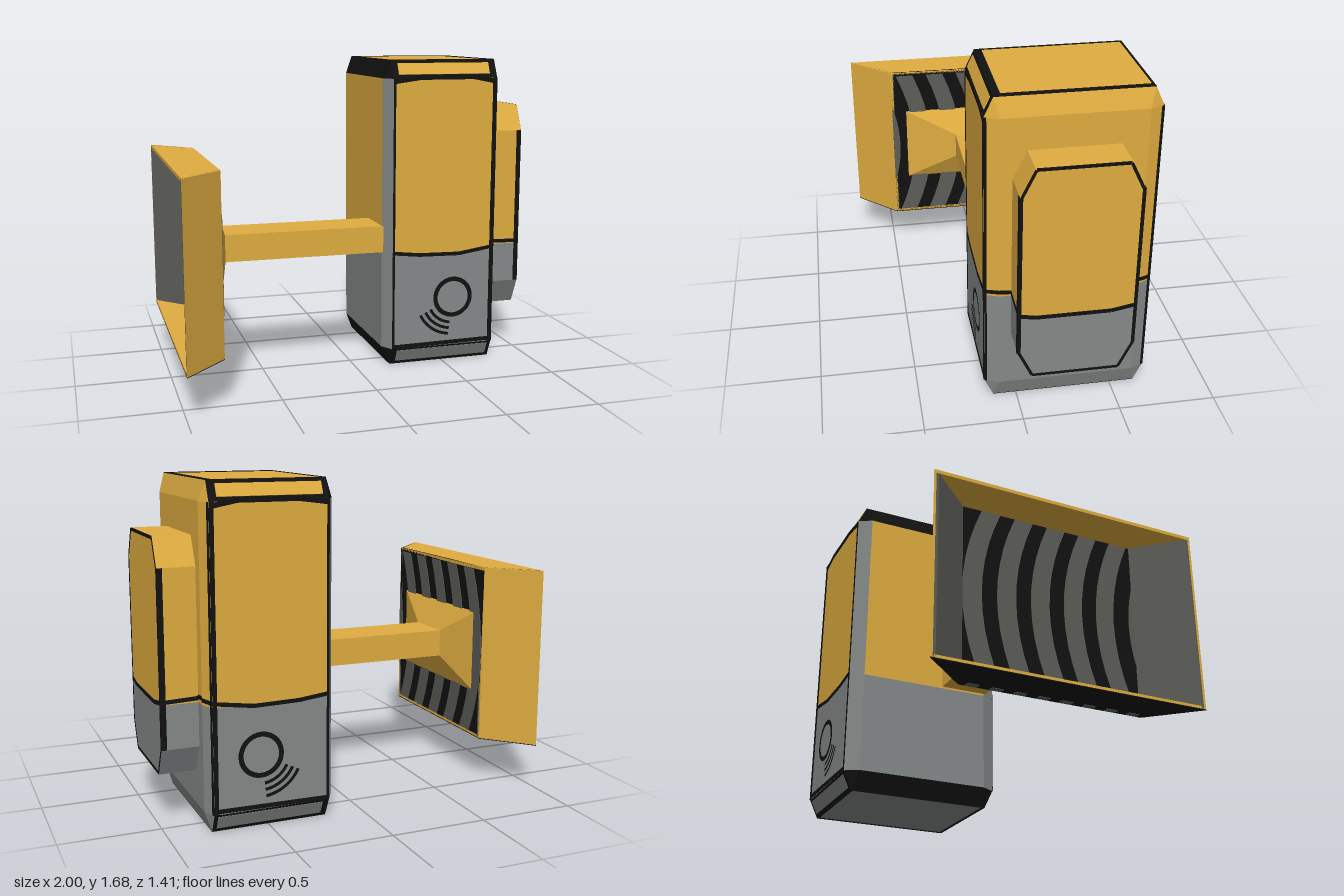
import * as THREE from 'three';
import { ConvexGeometry } from 'three/addons/geometries/ConvexGeometry.js';

const V = (x, y, z) => new THREE.Vector3(x, y, z);

export function createModel() {
  const model = new THREE.Group();
  model.name = 'hammer';
  const paint = (name, color) => Object.assign(new THREE.MeshStandardMaterial({ color }), { name });
  const yellow = paint('yellow', 0xdfac40);
  const grey = paint('grey', 0x848988);
  const dark = paint('darkGrey', 0x5c5c58);
  const black = paint('black', 0x111111);

  function add(name, geometry, material) {
    const mesh = new THREE.Mesh(geometry, material);
    mesh.name = name;
    model.add(mesh);
    return mesh;
  }
  const hull = (name, points, material) => add(name, new ConvexGeometry(points), material);

  // Thin painted strip from a to b, lying on a surface with normal n
  function strip(name, a, b, width, n, material = black) {
    const along = b.clone().sub(a);
    const length = along.length();
    along.normalize();
    const normal = n.clone().normalize();
    const side = normal.clone().cross(along);
    const mesh = add(name, new THREE.BoxGeometry(length, width, 0.006), material);
    mesh.quaternion.setFromRotationMatrix(new THREE.Matrix4().makeBasis(along, side, normal));
    mesh.position.copy(a).add(b).multiplyScalar(0.5);
  }
  function polyline(name, points, width, n) {
    for (let i = 1; i < points.length; i++) strip(name, points[i - 1], points[i], width, n);
  }

  // Head: bevelled block, yellow above and grey below
  const SPLIT = 0.625, TOP = 1.675, FRONT = 0.165, BACK = -0.675;
  const headHalf = (name, edgeY, bevelY, mainMat) => {
    const pts = [];
    for (const x of [0.195, 0.785]) {
      for (const z of [BACK, FRONT]) pts.push(V(x, SPLIT, z), V(x, bevelY, z));
      for (const z of [BACK + 0.045, FRONT - 0.045]) pts.push(V(x, edgeY, z));
    }
    for (const x of [0.155, 0.815])
      for (const z of [BACK + 0.07, FRONT - 0.07]) pts.push(V(x, SPLIT, z), V(x, bevelY, z));
    const g = new ConvexGeometry(pts);
    const n = g.attributes.normal;
    for (let i = 0; i < n.count; i += 3) {
      const [nx, ny, nz] = [n.getX(i), n.getY(i), n.getZ(i)];
      const on = v => Math.abs(v) > 0.02;
      let m = 0;
      if (on(ny) && on(nz) && !on(nx)) m = 2;        // long chamfers
      else if (nx < -0.02 && on(ny)) m = 2;          // bevels on the handle side
      else if (nx < -0.02 && on(nz)) m = 1;
      g.addGroup(i, 3, m);
    }
    add(name, g, [mainMat, grey, black]);
  };
  headHalf('headUpper', TOP, 1.58, yellow);
  headHalf('headLower', 0, 0.095, grey);

  // Painted lines on the front and back of the head
  for (const s of [1, -1]) {
    const z = s > 0 ? FRONT : BACK, n = V(0, 0, s);
    strip('headLine', V(0.201, 0.095, z), V(0.201, 1.58, z), 0.012, n);
    strip('headLine', V(0.774, 0.095, z), V(0.774, 1.58, z), 0.022, n);
    polyline('headLine', [V(0.2, 1.565, z), V(0.35, 1.585, z), V(0.65, 1.585, z), V(0.78, 1.56, z)], 0.025, n);
    strip('headLine', V(0.195, 0.106, z), V(0.785, 0.112, z), 0.022, n);
    polyline('splitLine', [V(0.195, 0.638, z), V(0.35, 0.62, z), V(0.58, 0.615, z), V(0.785, 0.645, z)], 0.02, n);

    // Coloured panels within the black chamfers
    const cz = z - s * 0.0225;
    strip('topChamferPanel', V(0.225, 1.63, cz), V(0.745, 1.63, cz), 0.065, V(0, 0.045, s * 0.095), yellow);
    strip('bottomChamferPanel', V(0.225, 0.05, cz), V(0.765, 0.05, cz), 0.075, V(0, -0.045, s * 0.095), grey);

    // Split line round the end bevel, and the end's outline
    const bn = V(0.07, 0, s * 0.03);
    strip('splitLine', V(0.785, 0.645, z), V(0.815, 0.65, z - s * 0.07), 0.02, bn);
    strip('headLine', V(0.788, 0.095, z - s * 0.007), V(0.788, 1.58, z - s * 0.007), 0.012, bn);

    // Ring and sound arcs
    const rings = [[0.09, 0.115, 0, Math.PI * 2]];
    for (const r of [0.145, 0.178, 0.211]) rings.push([r - 0.008, r + 0.008, 3.6, 1.0]);
    for (const [inner, outer, start, sweep] of rings) {
      const a = s > 0 ? start : Math.PI - start - sweep;
      const ring = add('ringMark', new THREE.RingGeometry(inner, outer, 40, 1, a, sweep), black);
      ring.position.set(0.548, 0.37, z + s * 0.004);
      if (s < 0) ring.rotation.y = Math.PI;
    }
  }

  // Lines on the top and bottom of the head
  for (const [y, ny] of [[TOP, 1], [0, -1]]) {
    const n = V(0, ny, 0), w = ny > 0 ? 1 : 0.4;
    strip('headLine', V(0.785 - 0.016 * w, y, BACK + 0.045), V(0.785 - 0.016 * w, y, FRONT - 0.045), 0.032 * w, n);
    strip('headLine', V(0.2, y, BACK + 0.045), V(0.2, y, FRONT - 0.045), 0.01, n);
    strip('headLine', V(0.195, y, FRONT - 0.045 - 0.018 * w), V(0.785, y, FRONT - 0.045 - 0.018 * w), 0.036 * w, n);
    strip('headLine', V(0.195, y, BACK + 0.05), V(0.785, y, BACK + 0.05), 0.01, n);
  }
  polyline('splitLine', [V(0.815, 0.65, FRONT - 0.07), V(0.815, 0.645, 0.03)], 0.02, V(1, 0, 0));
  polyline('splitLine', [V(0.815, 0.65, -0.54), V(0.815, 0.66, BACK + 0.07)], 0.02, V(1, 0, 0));

  // Striking pad: octagonal block on the head's end
  const padTop = [[0.035, 1.275], [-0.033, 1.415], [-0.477, 1.415], [-0.545, 1.275]];
  const padLow = [[-0.545, 0.405], [-0.477, 0.265], [-0.033, 0.265], [0.035, 0.405]];
  const padHalf = (name, profile, material) => hull(name,
    [...profile, [0.035, SPLIT], [-0.545, SPLIT]].flatMap(([z, y]) => [V(0.8, y, z), V(1, y, z)]), material);
  padHalf('padUpper', padTop, yellow);
  padHalf('padLower', padLow, grey);
  const rim = [...padTop, ...padLow, padTop[0]].map(([z, y]) =>
    V(0.998, 0.84 + (y - 0.84) * 0.987, -0.255 + (z + 0.255) * 0.975));
  polyline('padOutline', rim, 0.015, V(1, 0, 0));
  polyline('splitLine', [V(0.998, 0.632, 0.035), V(0.998, 0.615, -0.05), V(0.998, 0.615, -0.42), V(0.998, 0.638, -0.545)],
    0.022, V(1, 0, 0));
  for (const [z, nz] of [[0.035, 1], [-0.545, -1]]) {
    strip('padOutline', V(0.987, 0.405, z), V(0.987, 1.275, z), 0.026, V(0, 0, nz));
    strip('splitLine', V(0.815, 0.645, z), V(1, 0.638, z), 0.02, V(0, 0, nz));
  }

  // Handle and its flared end
  const section = (x, y0, y1, z0, z1) => [V(x, y0, z0), V(x, y0, z1), V(x, y1, z0), V(x, y1, z1)];
  hull('handle', [...section(-0.71, 0.635, 0.78, -0.155, 0.105), ...section(0.16, 0.635, 0.78, -0.155, 0.105)], yellow);
  hull('handleFlare', [...section(-0.71, 0.635, 0.78, -0.155, 0.105), ...section(-0.786, 0.48, 0.925, -0.4, 0.4)], yellow);

  // Foot: open tray with splayed sides
  const Y0 = 0.23, Y1 = 1.175;
  const slab = (name, y0, y1, material) =>
    hull(name, [...section(-0.785, y0, y1, -0.48, 0.48), ...section(-1, y0, y1, -0.705, 0.705)], material);
  slab('footTop', Y1 - 0.018, Y1, yellow);
  slab('footBottom', Y0 + 0.004, Y0 + 0.018, yellow);
  slab('footSole', Y0, Y0 + 0.004, black);
  for (const s of [1, -1]) {
    const side = (name, out, inn, material) => hull(name, [
      ...section(-0.785, Y0 + 0.004, Y1, s * (0.48 - out), s * (0.48 - inn)),
      ...section(-1, Y0 + 0.004, Y1, s * (0.705 - out), s * (0.705 - inn))], material);
    side('footSide', 0, 0.012, yellow);
    side('footSideLining', 0.012, 0.025, dark);
  }
  hull('footPlate', [...section(-0.785, Y0, Y1, -0.48, 0.48), ...section(-0.797, Y0, Y1, -0.48, 0.48)], black);

  // Curved grey bands showing on both sides of the foot plate
  const band = shape => {
    const g = new THREE.ExtrudeGeometry(shape, { depth: 0.018, bevelEnabled: false, curveSegments: 10 });
    add('footBand', g.rotateY(-Math.PI / 2).translate(-0.782, 0, 0), dark);
  };
  const mid = (Y0 + Y1) / 2, a = Y0 + 0.02, b = Y1 - 0.02;
  for (let i = 0; i < 5; i++) {
    const z = 0.4 - i * 0.18, bow = 0.2;
    const s = new THREE.Shape();
    s.moveTo(z - 0.05, a);
    s.lineTo(z + 0.05, a);
    s.quadraticCurveTo(z + 0.05 - bow, mid, z + 0.05, b);
    s.lineTo(z - 0.05, b);
    s.quadraticCurveTo(z - 0.05 - bow, mid, z - 0.05, a);
    band(s);
  }
  const crescent = new THREE.Shape();
  crescent.moveTo(0.479, 0.45);
  crescent.lineTo(0.479, 0.96);
  crescent.quadraticCurveTo(0.4, mid, 0.479, 0.45);
  band(crescent);

  // Small marks along the sole's inner edge
  for (let i = 0; i < 8; i++) {
    const mark = add('soleMark', new THREE.BoxGeometry(0.03, 0.006, 0.06), dark);
    mark.position.set(-0.805, Y0 + 0.001, -0.42 + i * 0.12);
  }
  return model;
}
